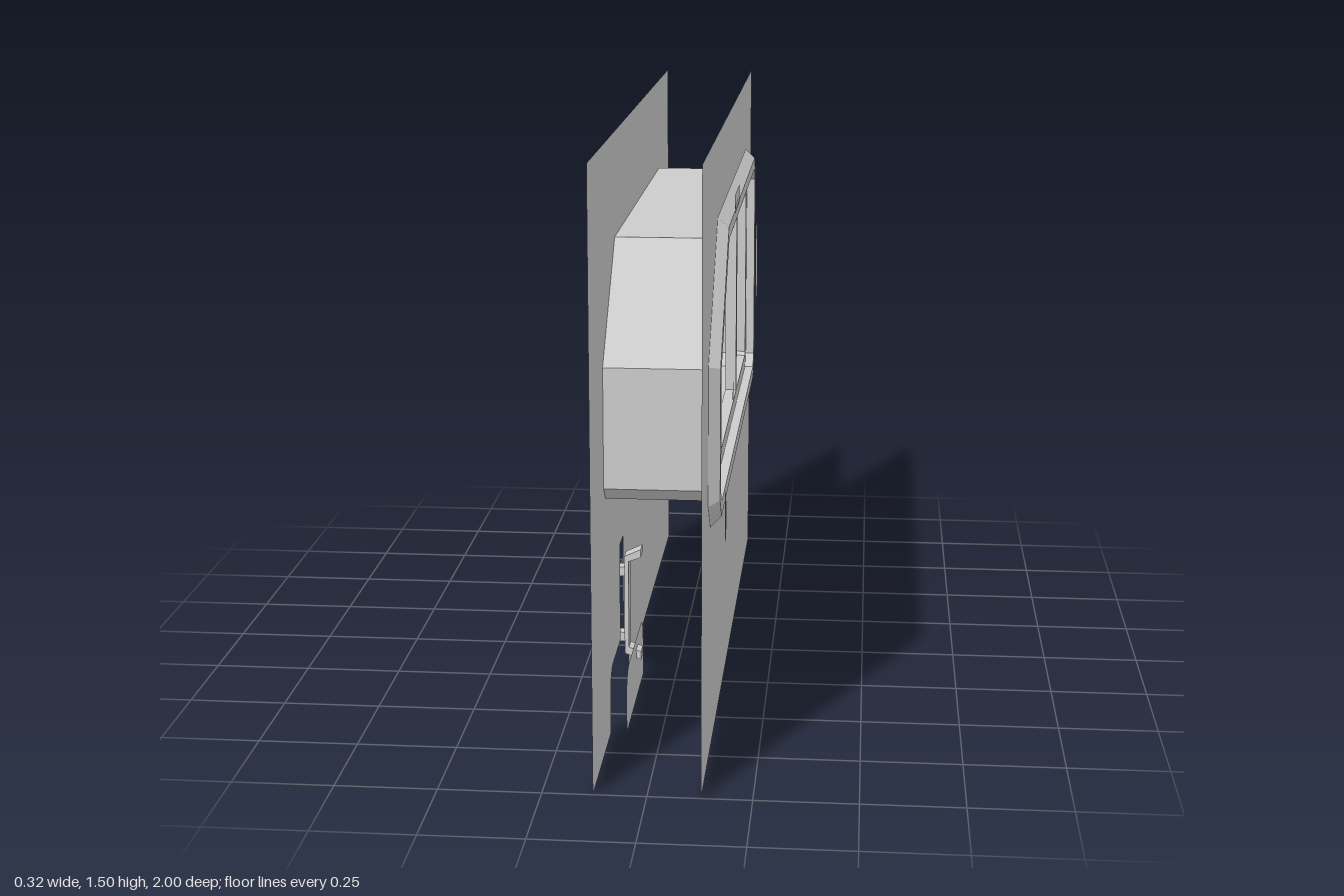
import * as THREE from 'three';

const material = new THREE.MeshStandardMaterial({ color: 0xcccccc, flatShading: true, side: THREE.DoubleSide });
const PANEL_X = 0.128, FACE_X = 0.155;

// Window outline as [z, y]: outer edge of the frame and edge of the opening
const OUTER = [[0.494, 1.297], [0.794, 0.994], [0.794, 0.653], [0.72, 0.579],
  [-0.72, 0.579], [-0.794, 0.653], [-0.794, 1.223], [-0.72, 1.297]];
const INNER = [[0.446, 1.206], [0.7, 0.962], [0.7, 0.688], [0.69, 0.678],
  [-0.686, 0.678], [-0.696, 0.688], [-0.696, 1.196], [-0.686, 1.206]];
const WALL = 0.62; // blend at which the tunnel wall lies

const outline = (t) => OUTER.map(([z, y], i) => [z + (INNER[i][0] - z) * t, y + (INNER[i][1] - y) * t]);

function add(parent, name, geometry) {
  const mesh = new THREE.Mesh(geometry, material);
  mesh.name = name;
  parent.add(mesh);
  return mesh;
}

// Skins a run of window outlines, each given as [blend, x]
function loft(profile) {
  const rings = profile.map(([t, x]) => outline(t).map(([z, y]) => [x, y, z]));
  const pos = [];
  for (let r = 0; r + 1 < rings.length; r++) {
    const a = rings[r], b = rings[r + 1];
    for (let i = 0; i < a.length; i++) {
      const j = (i + 1) % a.length;
      pos.push(...a[i], ...b[j], ...a[j], ...a[i], ...b[i], ...b[j]);
    }
  }
  const g = new THREE.BufferGeometry();
  g.setAttribute('position', new THREE.Float32BufferAttribute(pos, 3));
  g.computeVertexNormals();
  return g;
}

const points = (list) => list.map(([z, y]) => new THREE.Vector2(-z, y));
const rect = (z0, z1, y0, y1) => [[z0, y0], [z0, y1], [z1, y1], [z1, y0]];

// Thin sheet facing +x, from [z, y] points
function sheet(parent, name, x, pts, holes = []) {
  const shape = new THREE.Shape(points(pts));
  shape.holes = holes.map((h) => new THREE.Path(points(h)));
  return add(parent, name, new THREE.ShapeGeometry(shape).rotateY(Math.PI / 2).translate(x, 0, 0));
}

function block(parent, name, [x0, x1], [y0, y1], [z0, z1]) {
  const mesh = add(parent, name, new THREE.BoxGeometry(x1 - x0, y1 - y0, z1 - z0));
  mesh.position.set((x0 + x1) / 2, (y0 + y1) / 2, (z0 + z1) / 2);
  return mesh;
}

// Quarter-round corner points around (z, y), from angle a0 to a1 in degrees
function corner(z, y, r, a0, a1) {
  return Array.from({ length: 6 }, (_, i) => {
    const a = THREE.MathUtils.degToRad(a0 + (a1 - a0) * i / 5);
    return [z + r * Math.cos(a), y + r * Math.sin(a)];
  });
}

// Step recess at the foot of one panel, rounded at its upper corners
const RECESS_FRONT = [[0.625, 0], ...corner(0.565, 0.105, 0.06, 0, 90)];
const RECESS_BACK = [...corner(0.27, 0.105, 0.06, 90, 180), [0.21, 0]];
const LATCH_SLOT = [[0.4, 0.165], [0.4, 0.425], [0.33, 0.425], [0.33, 0.165]];

function windowSide(hasRecess) {
  const side = new THREE.Group();
  const foot = hasRecess ? [...RECESS_FRONT, ...LATCH_SLOT, ...RECESS_BACK] : [];
  sheet(side, 'wallPanel', PANEL_X, [[-1, 0], [-1, 1.5], [1, 1.5], [1, 0], ...foot], [outline(WALL)]);

  // Bevelled outer frame stepping down to the inner rim
  add(side, 'windowFrame', loft([[0, PANEL_X], [0.28, FACE_X], [WALL, FACE_X], [WALL, 0.131],
    [1, 0.131], [1, 0.1], [WALL, 0.1]]));
  block(side, 'windowPillar', [0.1, 0.13], [0.678, 1.206], [-0.29, -0.257]);

  // Small clips on the upper and lower rim
  for (const z of [0.395, -0.159]) {
    for (const [y, dir] of [[1.206, -1], [0.678, 1]]) {
      sheet(side, 'rimClip', 0.128, [[z - 0.016, y], [z + 0.016, y],
        [z + 0.011, y + dir * 0.045], [z - 0.011, y + dir * 0.045]]);
    }
  }

  // Flat catches around the frame
  sheet(side, 'topCatch', 0.157, rect(0.283, 0.087, 1.27, 1.318), [rect(0.238, 0.135, 1.262 + 0.012, 1.285)]);
  sheet(side, 'rearHinge', 0.157, [[-0.765, 0.822], [-0.85, 0.822], [-0.88, 0.855],
    [-0.88, 1.025], [-0.85, 1.057], [-0.765, 1.057]]);
  sheet(side, 'bottomCatch', 0.157, rect(0.617, 0.578, 0.507, 0.632));
  sheet(side, 'bottomCatchInset', 0.16, rect(0.606, 0.586, 0.535, 0.61));
  sheet(side, 'ventPlate', 0.134, [[-0.404, 1.236], [-0.607, 1.236], [-0.57, 1.18], [-0.404, 1.18]]);
  for (const z of [-0.455, -0.508]) {
    sheet(side, 'ventOpening', 0.136, rect(z, z - 0.044, 1.186, 1.234));
  }
  return side;
}

// Bracket with turned-in ends and two pegs, set into the slot
function doorLatch() {
  const latch = new THREE.Group();
  latch.name = 'doorLatch';
  const profile = new THREE.Shape([[-0.118, 0.39], [-0.075, 0.41], [-0.075, 0.388], [-0.107, 0.376],
    [-0.107, 0.142], [-0.075, 0.13], [-0.075, 0.108], [-0.118, 0.125]].map((p) => new THREE.Vector2(...p)));
  add(latch, 'latchBracket',
    new THREE.ExtrudeGeometry(profile, { depth: 0.045, bevelEnabled: false }).translate(0, 0, 0.345));
  for (const y of [0.168, 0.347]) {
    block(latch, 'latchPeg', [-0.156, -0.113], [y - 0.012, y + 0.012], [0.352, 0.383]);
  }
  return latch;
}

export function createModel() {
  const model = new THREE.Group();
  model.name = 'windowSection';

  const left = windowSide(false);
  left.name = 'leftSide';
  const right = windowSide(true);
  right.name = 'rightSide';
  right.scale.x = -1;

  // Tunnel joining the two windows
  add(model, 'windowTunnel', loft([[WALL, -PANEL_X], [WALL, PANEL_X]]));
  // Plate set back behind the recess
  sheet(model, 'recessPlate', -0.088, [...RECESS_FRONT, ...RECESS_BACK]);

  model.add(left, right, doorLatch());
  return model;
}
